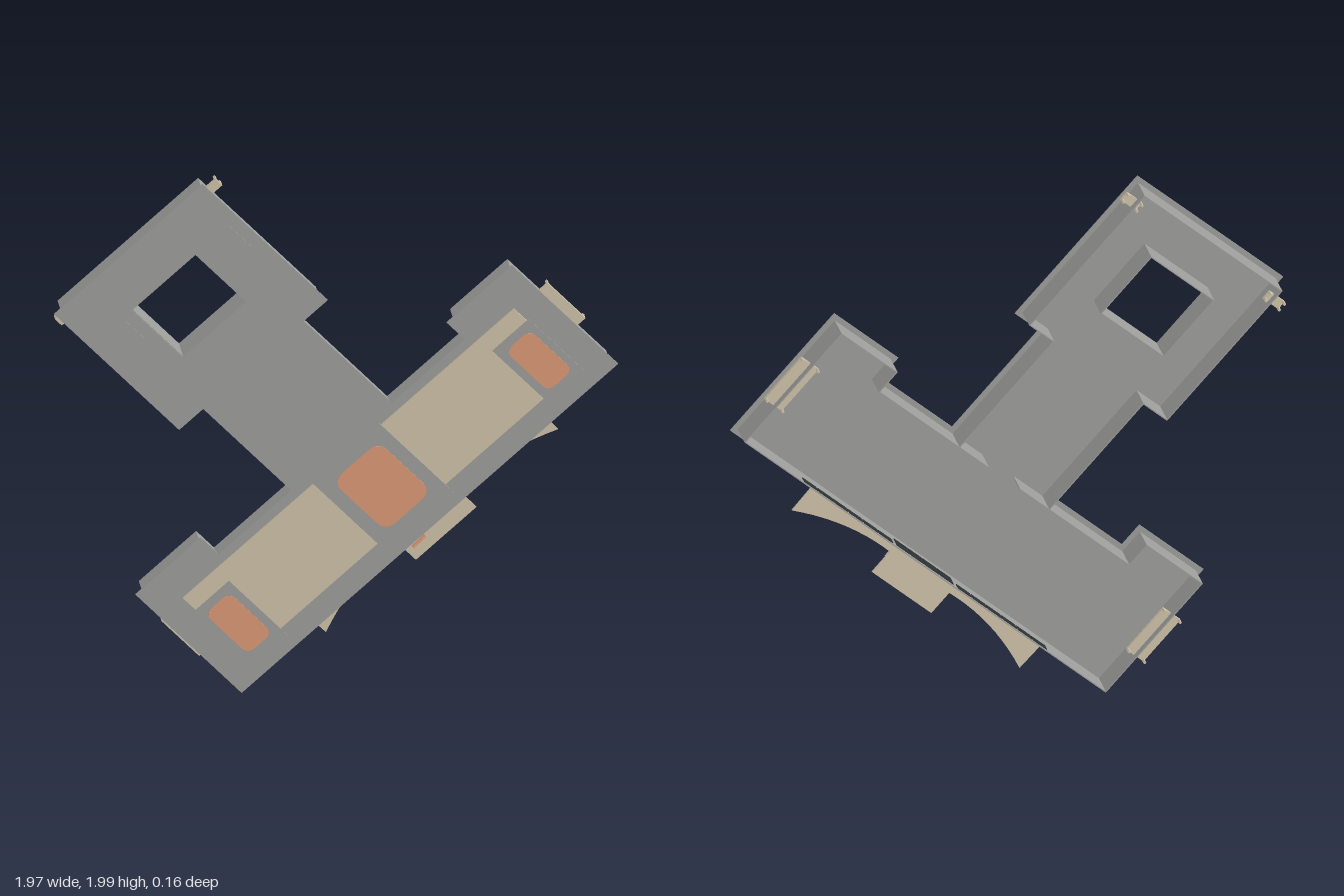
import * as THREE from 'three';

const mat = (name, color) => {
  const m = new THREE.MeshStandardMaterial({ color });
  m.name = name;
  return m;
};

export function createModel() {
  const grey = mat('roof grey', 0xa0a09e);
  const tan = mat('sandstone', 0xd1c5ab);
  const orange = mat('terracotta', 0xde9b77);
  const pale = mat('pale stone', 0xdedede);
  const dark = mat('dark glass', 0x2c3234);

  const model = new THREE.Group();
  model.name = 'building';
  // Plan frame: x runs along the long wing, y towards the rear wing, z is height
  const plan = new THREE.Group();
  plan.name = 'plan';
  plan.position.set(0.141, 0.803, 0);
  plan.rotation.z = 0.733;
  model.add(plan);

  const add = (name, geo, material) => {
    const mesh = new THREE.Mesh(geo, material);
    mesh.name = name;
    plan.add(mesh);
    return mesh;
  };
  const box = (name, x0, x1, y0, y1, z0, z1, material) => {
    const g = new THREE.BoxGeometry(x1 - x0, y1 - y0, z1 - z0);
    g.translate((x0 + x1) / 2, (y0 + y1) / 2, (z0 + z1) / 2);
    return add(name, g, material);
  };
  const toShape = pts => new THREE.Shape(pts.map(p => new THREE.Vector2(...p)));
  const plate = (name, shape, z, depth, material) => {
    const g = new THREE.ExtrudeGeometry(shape, { depth, bevelEnabled: false, curveSegments: 10 });
    g.translate(0, 0, z);
    return add(name, g, material);
  };
  // Half outline mirrored; e insets it for the walls under the overhang
  const outline = e => {
    const half = [
      [0.884 - e, -0.276 + e], [0.884 - e, 0.278 - e], [0.577 + e, 0.278 - e],
      [0.577 + e, 0.185 - e], [0.236 - e, 0.185 - e], [0.236 - e, 0.644 + e],
      [0.349 - e, 0.644 + e], [0.349 - e, 1.296 - e],
    ];
    return half.concat(half.map(([x, y]) => [-x, y]).reverse());
  };
  const opening = [[-0.15, 0.844], [-0.15, 1.11], [0.148, 1.11], [0.148, 0.844]];

  // Roof sheet with the courtyard opening
  const roof = toShape(outline(0));
  roof.holes.push(new THREE.Path(opening.map(p => new THREE.Vector2(...p))));
  plate('roof', roof, 0.015, 0.004, grey);

  // Thin walls, open below
  const walls = (name, pts) => pts.forEach(([x, y], i) => {
    const [x2, y2] = pts[(i + 1) % pts.length];
    const g = new THREE.BoxGeometry(Math.hypot(x2 - x, y2 - y) + 0.004, 0.004, 0.097);
    g.rotateZ(Math.atan2(y2 - y, x2 - x));
    g.translate((x + x2) / 2, (y + y2) / 2, -0.0335);
    add(name, g, grey);
  });
  walls('outerWall', outline(0.021));
  walls('courtyardWall', opening);

  // Raised roof strip
  box('roofStrip', -0.777, 0.777, -0.185, 0.15, 0.019, 0.025, tan);

  // Rooftop block with overhanging top
  const block = (name, x0, x1, y0, y1, top) => {
    box(name + 'Base', x0 + 0.01, x1 - 0.01, y0 + 0.01, y1 - 0.01, 0.019, top - 0.003, tan);
    box(name + 'Top', x0, x1, y0, y1, top - 0.003, top, grey);
  };
  // Rounded skylight
  const skylight = (x0, x1, y0, y1, r, z) => {
    const s = new THREE.Shape();
    s.moveTo(x0 + r, y0);
    s.lineTo(x1 - r, y0);
    s.quadraticCurveTo(x1, y0, x1, y0 + r);
    s.lineTo(x1, y1 - r);
    s.quadraticCurveTo(x1, y1, x1 - r, y1);
    s.lineTo(x0 + r, y1);
    s.quadraticCurveTo(x0, y1, x0, y1 - r);
    s.lineTo(x0, y0 + r);
    s.quadraticCurveTo(x0, y0, x0 + r, y0);
    plate('skylight', s, z, 0.002, orange);
  };
  // Open porch: a slab on four slim posts
  const porch = (name, x0, x1, y0, y1) => {
    box(name + 'Roof', x0, x1, y0, y1, -0.06, -0.05, tan);
    for (const x of [x0, x1 - 0.008])
      for (const y of [y0, y1 - 0.008])
        box(name + 'Post', x, x + 0.008, y, y + 0.008, -0.08, -0.06, tan);
  };
  block('centreBlock', -0.16, 0.157, -0.222, 0.168, 0.042);
  skylight(-0.108, 0.108, -0.16, 0.118, 0.05, 0.042);

  for (const s of [-1, 1]) {
    const span = (a, b) => (s > 0 ? [a, b] : [-b, -a]);
    block('endBlock', ...span(0.618, 0.788), -0.215, 0.088, 0.036);
    skylight(...span(0.648, 0.763), -0.17, 0.055, 0.035, 0.036);
    block('rearBlock', ...span(0.19, 0.308), 1.0, 1.113, 0.034);
    // Inner wall between the wings, broken by a central passage
    box('innerWall', ...span(0.075, 0.236), 0.162, 0.166, -0.082, 0.015, grey);
    // Porches reaching in through the end walls
    porch('sidePorch', ...span(0.825, 0.907), -0.095, 0.102);
    porch('rearPorch', ...span(0.305, 0.377), 1.21, 1.245);

    // Curved paving beside the entrance, at ground level
    const drive = new THREE.Shape();
    drive.moveTo(s * 0.13, -0.255);
    drive.lineTo(s * 0.13, -0.283);
    drive.quadraticCurveTo(s * 0.34, -0.27, s * 0.545, -0.36);
    drive.lineTo(s * 0.548, -0.255);
    plate('curvedPaving', drive, -0.081, 0.005, tan);
    // Ground floor windows, showing on both sides of the wall
    for (let i = 0; i < 6; i++) {
      const x = 0.155 + i * 0.072;
      box('window', ...span(x, x + 0.066), -0.2595, -0.2505, -0.075, -0.046, dark);
    }
  }

  // Entrance paving, landing and glazed doors
  box('entrancePaving', -0.139, 0.145, -0.378, -0.255, -0.081, -0.075, tan);
  box('entranceLanding', -0.139, 0.145, -0.307, -0.256, -0.075, -0.07, pale);
  for (let i = 0; i < 4; i++) {
    const x = -0.136 + i * 0.069;
    box('entranceDoor', x, x + 0.064, -0.2595, -0.2505, -0.07, -0.02, dark);
  }

  // Small ornament above the entrance
  const ornament = box('ornament', -0.03, 0.03, -0.004, 0.004, -0.007, 0.007, orange);
  ornament.position.set(-0.048, -0.262, 0.067);
  ornament.rotation.y = 0.12;

  return model;
}
